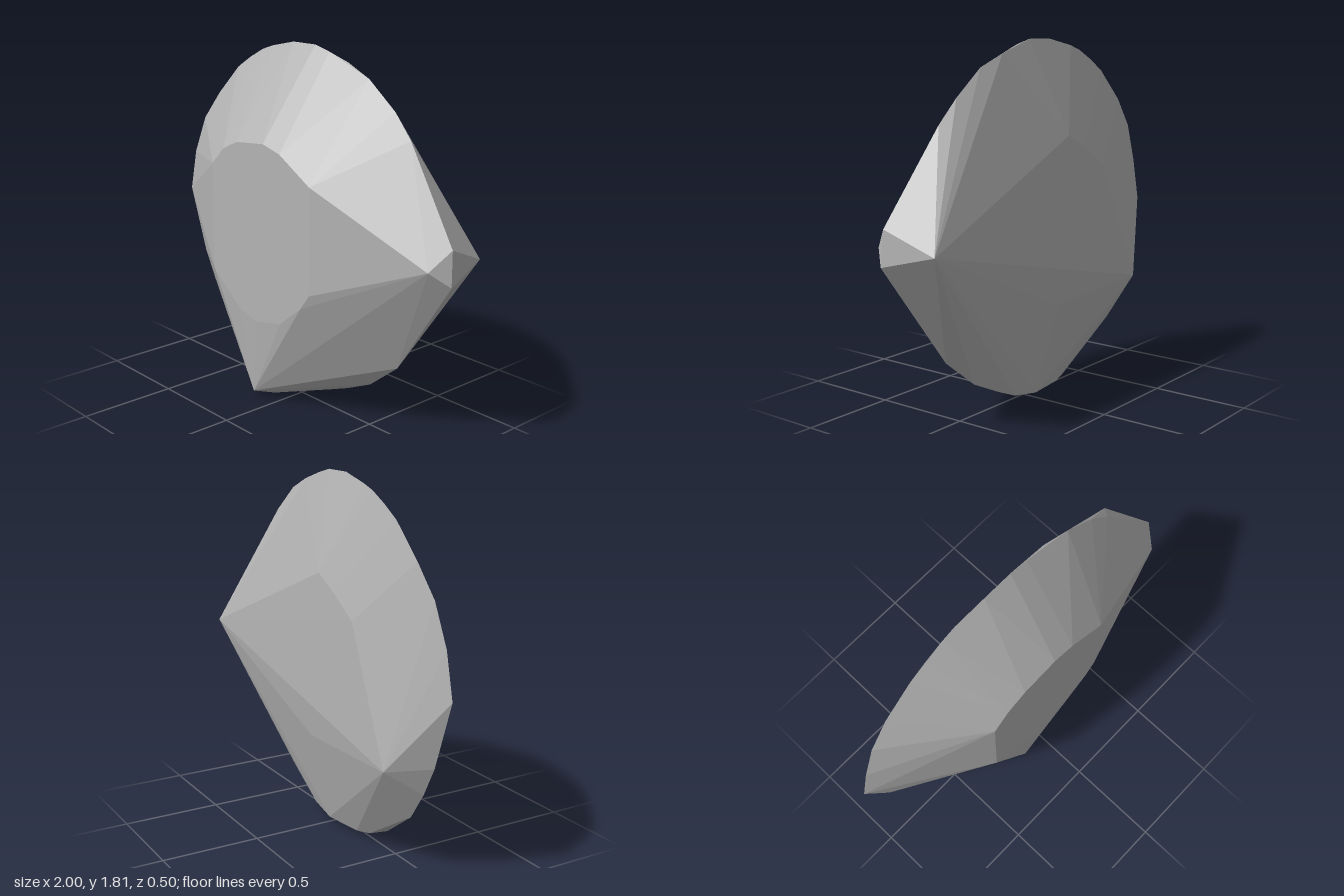
import * as THREE from 'three';
import { ConvexGeometry } from 'three/addons/geometries/ConvexGeometry.js';

// Faceted, flattened stone: a convex body spanned by a rim, two flat faces and a few spurs
export function createModel() {
  const group = new THREE.Group();
  const stoneGrey = new THREE.MeshStandardMaterial({ color: 0xb4b4b4 });
  stoneGrey.name = 'stoneGrey';

  // Upper rim, left to right, lying slightly behind the middle
  const upperRim = [
    [-1, 0.91, -0.05], [-0.95, 1.13, -0.05], [-0.87, 1.33, -0.06], [-0.75, 1.48, -0.07],
    [-0.58, 1.64, -0.07], [-0.48, 1.7, -0.07], [-0.38, 1.75, -0.07], [-0.3, 1.775, -0.07],
    [-0.13, 1.81, -0.06], [0.03, 1.81, -0.06], [0.13, 1.785, -0.06], [0.25, 1.745, -0.07],
    [0.4, 1.685, -0.06], [0.57, 1.555, -0.06], [0.68, 1.44, -0.05],
  ];
  // Lower rim, right to left
  const lowerRim = [
    [0.99, 1.01, 0], [1, 0.84, 0.01], [0.64, 0.33, -0.04], [0.45, 0.18, -0.05],
    [0.28, 0.1, -0.06], [0.16, 0.05, -0.07], [0, 0.025, -0.08], [-0.22, 0.025, -0.05],
    [-0.31, 0.04, -0.03], [-0.38, 0.065, 0.03], [-0.7, 0.275, -0.05],
    [-0.8, 0.42, -0.05], [-0.88, 0.57, -0.05],
  ];
  // Flat front face at constant depth
  const frontFace = [
    [-0.4, 1.2], [-0.31, 1.29], [-0.2, 1.34], [0, 1.36], [0.12, 1.33], [0.33, 1.21],
    [0.33, 0.68], [0.27, 0.6], [0.12, 0.48], [-0.07, 0.44], [-0.2, 0.48], [-0.4, 0.64],
  ].map(([x, y]) => [x, y, 0.25]);
  // Gently sloping back face
  const backFace = [
    [-0.11, 1.34, -0.2], [-0.25, 1.27, -0.2], [-0.415, 1.165, -0.2],
    [-0.71, 0.53, -0.21], [-0.03, 0.5, -0.2],
  ];
  // Projecting corners: side front, side back, bottom front, lowest point
  const spurs = [
    [0.93, 0.91, 0.09], [0.94, 0.905, -0.25], [-0.14, 0.025, 0.21], [-0.09, 0, 0.11],
  ];

  const points = [...upperRim, ...lowerRim, ...frontFace, ...backFace, ...spurs]
    .map((p) => new THREE.Vector3(...p));
  const stone = new THREE.Mesh(new ConvexGeometry(points), stoneGrey);
  stone.name = 'stone';
  group.add(stone);
  return group;
}
